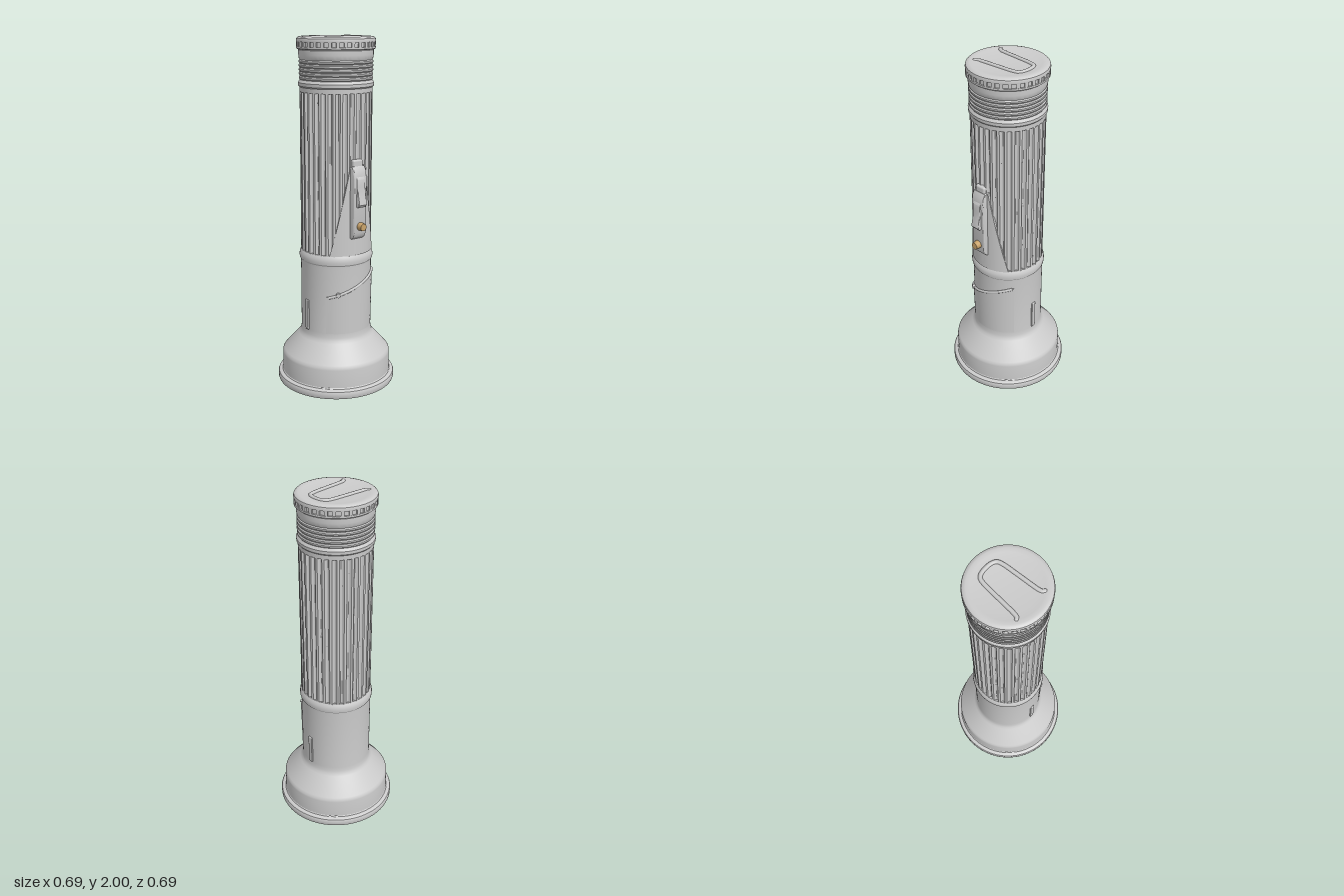
import * as THREE from 'three';
import { toCreasedNormals } from 'three/addons/utils/BufferGeometryUtils.js';
import { RoundedBoxGeometry } from 'three/addons/geometries/RoundedBoxGeometry.js';

const grey = new THREE.MeshStandardMaterial({ color: 0xcccccc });
const brass = new THREE.MeshStandardMaterial({ color: 0xc9a36a });

function add(group, name, geometry, material = grey, x = 0, y = 0, z = 0) {
  const mesh = new THREE.Mesh(geometry, material);
  mesh.name = name;
  mesh.position.set(x, y, z);
  group.add(mesh);
  return mesh;
}

function lathe(points) {
  const pts = points.map(([r, y]) => new THREE.Vector2(r, y));
  return toCreasedNormals(new THREE.LatheGeometry(pts, 96), 0.5);
}

// Curved plate on the front of the tube; its border folds inward to make the edges.
function curvedPanel(left, right, height, radius, inner) {
  const n = 20, pos = [], index = [];
  for (let j = 0; j <= n + 2; j++) {
    for (let i = 0; i <= n + 2; i++) {
      const u = THREE.MathUtils.clamp((i - 1) / n, 0, 1);
      const v = THREE.MathUtils.clamp((j - 1) / n, 0, 1);
      const border = i === 0 || j === 0 || i === n + 2 || j === n + 2;
      const x = THREE.MathUtils.lerp(left(v), right(v), u);
      const a = Math.asin(x / 0.205), r = border ? inner : radius(v);
      pos.push(r * Math.sin(a), height(u, v), r * Math.cos(a));
    }
  }
  const w = n + 3;
  for (let j = 0; j < w - 1; j++) {
    for (let i = 0; i < w - 1; i++) {
      const a = j * w + i;
      index.push(a, a + 1, a + w + 1, a, a + w + 1, a + w);
    }
  }
  const g = new THREE.BufferGeometry();
  g.setAttribute('position', new THREE.Float32BufferAttribute(pos, 3));
  g.setIndex(index);
  return toCreasedNormals(g, 0.6);
}

// Side profile (z, y) extruded across x with a small bevel.
function sideProfile(points, width, bevel) {
  const shape = new THREE.Shape(points.map(([z, y]) => new THREE.Vector2(z, y)));
  const g = new THREE.ExtrudeGeometry(shape, {
    depth: width - 2 * bevel, bevelThickness: bevel, bevelSize: bevel, bevelOffset: -bevel, bevelSegments: 3,
  });
  g.translate(0, 0, -(width - 2 * bevel) / 2);
  g.rotateY(-Math.PI / 2);
  return toCreasedNormals(g, 0.5);
}

export function createModel() {
  const model = new THREE.Group();
  model.name = 'flashlight';

  // Lens with concentric ridges, facing down inside the rim
  const lens = [[0, 0.012], [0.1, 0.012]];
  for (let r = 0.11; r < 0.3; r += 0.03) lens.push([r, 0.008], [r + 0.01, 0.008], [r + 0.013, 0.012]);
  lens.push([0.32, 0.012]);
  add(model, 'lens', lathe(lens));

  // Flared head, neck and the collar under the grip
  add(model, 'head', lathe([
    [0.315, 0.014], [0.322, 0.002], [0.332, 0], [0.34, 0.004], [0.344, 0.014], [0.345, 0.036], [0.341, 0.046],
    [0.332, 0.052], [0.32, 0.054], [0.316, 0.06], [0.316, 0.165], [0.314, 0.178], [0.306, 0.19],
    [0.22, 0.285], [0.21, 0.298], [0.205, 0.315], [0.203, 0.34], [0.203, 0.73],
    [0.204, 0.742], [0.21, 0.75], [0.212, 0.765], [0.21, 0.784], [0.204, 0.795], [0.2, 0.803], [0.185, 0.803],
  ]));

  // Fluted grip: rounded grooves around the tube
  const ribs = 32, steps = 12, outline = [];
  for (let i = 0; i < ribs * steps; i++) {
    const groove = Math.max(0, Math.cos((i / steps) * Math.PI * 2) + 0.15);
    const r = 0.202 - 0.013 * Math.sqrt(groove / 1.15), a = (i / (ribs * steps)) * Math.PI * 2;
    outline.push(new THREE.Vector2(r * Math.cos(a), r * Math.sin(a)));
  }
  const grip = new THREE.ExtrudeGeometry(new THREE.Shape(outline), { depth: 0.91, bevelEnabled: false });
  grip.rotateX(-Math.PI / 2);
  add(model, 'flutedGrip', toCreasedNormals(grip, 0.6), grey, 0, 0.795, 0);

  // Upper collar and screw rings
  const rings = [[0.185, 1.7], [0.202, 1.7], [0.203, 1.725], [0.209, 1.732], [0.21, 1.75], [0.204, 1.758]];
  for (let y = 1.765; y < 1.86; y += 0.022) {
    rings.push([0.2, y], [0.205, y + 0.006], [0.205, y + 0.014], [0.2, y + 0.02]);
  }
  rings.push([0.204, 1.88], [0.207, 1.9], [0.207, 1.925], [0.2, 1.932]);
  add(model, 'screwRings', lathe(rings));

  // End cap with a notched band
  add(model, 'endCap', lathe([
    [0.195, 1.928], [0.212, 1.928], [0.218, 1.933], [0.218, 1.943], [0.209, 1.943], [0.209, 1.968],
    [0.218, 1.968], [0.219, 1.976], [0.216, 1.987], [0.208, 1.994], [0.195, 1.997], [0.175, 1.994],
    [0.14, 1.989], [0, 1.989],
  ]));
  const teeth = new THREE.Group();
  teeth.name = 'capTeeth';
  model.add(teeth);
  for (let i = 0; i < 32; i++) {
    const a = (i / 32) * Math.PI * 2;
    const tooth = add(teeth, 'capTooth', new THREE.BoxGeometry(0.018, 0.027, 0.014), grey,
      0.21 * Math.sin(a), 1.9555, 0.21 * Math.cos(a));
    tooth.rotation.y = a;
  }

  // Folded wire hanger lying on the cap
  const half = [[-0.142, 0.098], [-0.134, 0.088], [-0.118, 0.083], [0, 0.074], [0.095, 0.066], [0.122, 0.057], [0.136, 0.032]];
  const wire = [...half, ...half.slice().reverse().map(([x, z]) => [x, -z])]
    .map(([x, z]) => new THREE.Vector3(x, 1.989, z));
  const wireCurve = new THREE.CatmullRomCurve3(wire, false, 'centripetal');
  add(model, 'hangerWire', new THREE.TubeGeometry(wireCurve, 100, 0.011, 10));
  for (const p of [wire[0], wire[wire.length - 1]]) {
    add(model, 'hangerEnd', new THREE.SphereGeometry(0.011, 10, 8), grey, p.x, p.y, p.z);
  }

  // Tapered switch plate
  const plateHalf = (v) => THREE.MathUtils.lerp(0.145, 0.045, v);
  add(model, 'switchPlate', curvedPanel((v) => -plateHalf(v) - 0.004, (v) => plateHalf(v) - 0.004,
    (u, v) => 0.803 + v * 0.507, () => 0.208, 0.188));

  // Switch housing, thumb slider and signal button
  const sx = -0.008;
  add(model, 'switchTopTab', new RoundedBoxGeometry(0.066, 0.06, 0.03, 3, 0.01), grey, sx, 1.315, 0.202);
  add(model, 'switchHousing', sideProfile([
    [0.19, 0.9], [0.208, 0.9], [0.226, 0.915], [0.236, 0.94], [0.238, 1.24], [0.232, 1.285], [0.218, 1.31], [0.19, 1.31],
  ], 0.088, 0.008), grey, sx);
  add(model, 'thumbSlider', sideProfile([
    [0.22, 1.08], [0.25, 1.085], [0.262, 1.1], [0.258, 1.125], [0.249, 1.16], [0.246, 1.2], [0.244, 1.24], [0.235, 1.255], [0.22, 1.255],
  ], 0.054, 0.005), grey, sx);
  const button = new THREE.CylinderGeometry(0.02, 0.024, 0.036, 24);
  button.rotateX(Math.PI / 2);
  add(model, 'signalButton', button, brass, sx, 0.975, 0.249);

  // Lower front cover with a slanted upper lip
  const slant = (u) => THREE.MathUtils.lerp(0.56, 0.68, u);
  add(model, 'frontCover', curvedPanel(() => -0.163, () => 0.163,
    (u, v) => THREE.MathUtils.lerp(0.34, slant(u), v), (v) => 0.2035 + 0.0055 * v, 0.19));
  const lip = [];
  for (let i = 0; i <= 12; i++) {
    const x = -0.155 + (i / 12) * 0.313;
    lip.push(new THREE.Vector3(x, slant(i / 12) - 0.003, Math.sqrt(0.207 ** 2 - x * x)));
  }
  add(model, 'coverLip', new THREE.TubeGeometry(new THREE.CatmullRomCurve3(lip), 40, 0.008, 8));
  const pivot = new THREE.CylinderGeometry(0.013, 0.013, 0.02, 16);
  pivot.rotateX(Math.PI / 2);
  const pivotMesh = add(model, 'coverPivot', pivot, grey, -0.114, 0.576, 0.176);
  pivotMesh.rotation.y = -0.58;

  // Slim raised strips on both sides of the neck
  for (const s of [-1, 1]) {
    add(model, 'sideStrip', new RoundedBoxGeometry(0.016, 0.18, 0.03, 2, 0.005), grey, s * 0.202, 0.43, 0);
  }
  return model;
}
